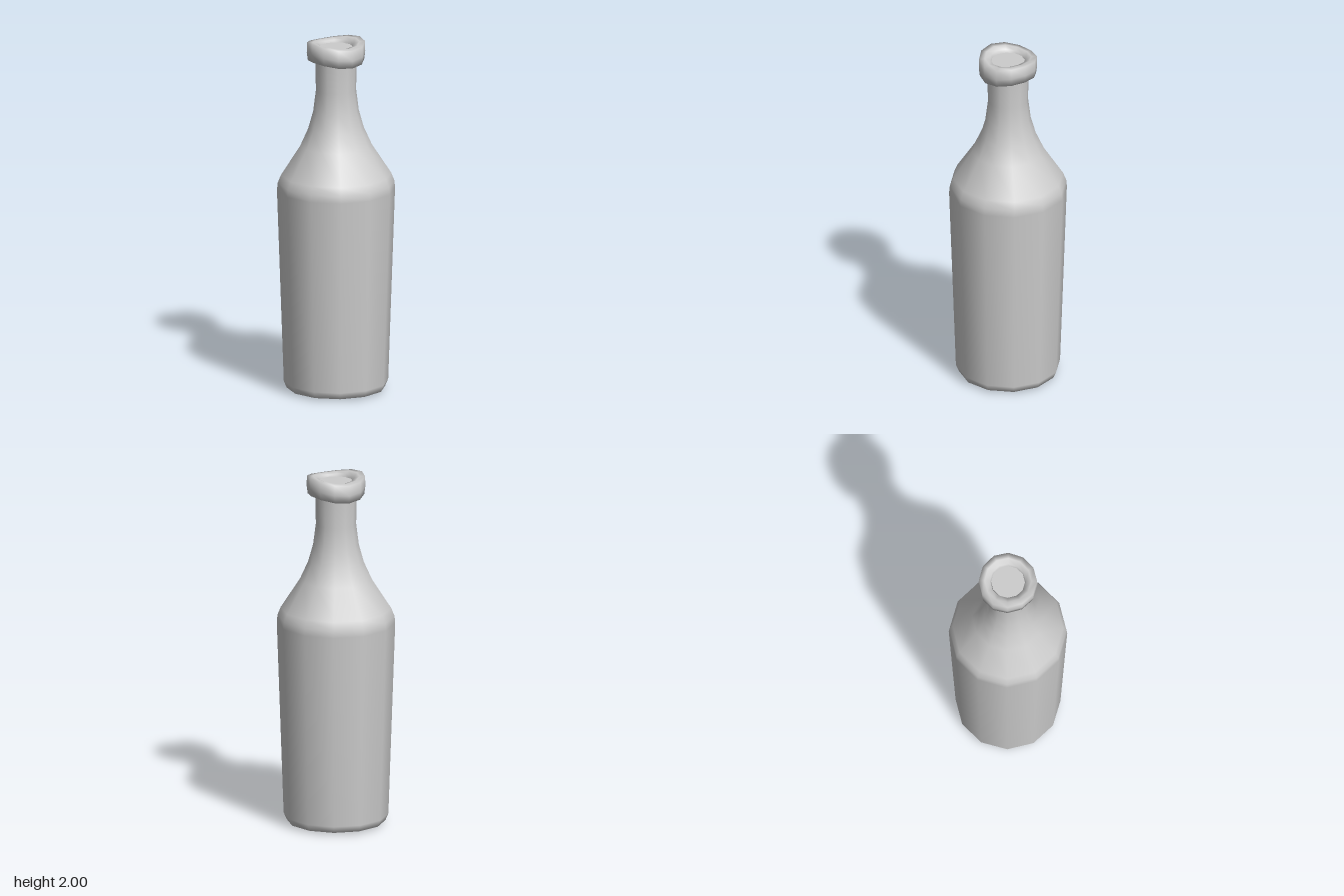
import * as THREE from 'three';

const SIDES = 12;

// Lathe from [radius, height] pairs, listed from the bottom up on the outside
function turn(name, profile, material) {
  const points = profile.map(([r, y]) => new THREE.Vector2(r, y));
  const mesh = new THREE.Mesh(new THREE.LatheGeometry(points, SIDES), material);
  mesh.name = name;
  return mesh;
}

export function createModel() {
  const group = new THREE.Group();
  group.name = 'bottle';
  const glass = new THREE.MeshStandardMaterial({ color: 0xcccccc, side: THREE.DoubleSide });

  // Tapered body, sloping shoulder and slim neck
  group.add(turn('body', [
    [0, 0.005], [0.23, 0], [0.275, 0.012], [0.291, 0.05],
    [0.329, 1.15], [0.325, 1.19], [0.307, 1.235], [0.2, 1.4],
    [0.155, 1.5], [0.127, 1.6], [0.112, 1.72], [0.116, 1.9],
  ], glass));

  // Rolled lip, bent into a shallow saddle: low at the sides, high front and back
  const lip = turn('lip', [
    [0.112, 1.9], [0.157, 1.886], [0.163, 1.93], [0.162, 1.988],
    [0.13, 1.99], [0.1, 1.98], [0.094, 1.95],
  ], glass);
  const pos = lip.geometry.attributes.position;
  for (let i = 0; i < pos.count; i++) {
    const x = pos.getX(i), z = pos.getZ(i);
    const bend = 0.012 * (z * z - x * x) / (0.16 * 0.16);
    pos.setY(i, pos.getY(i) + bend);
  }
  lip.geometry.computeVertexNormals();
  // Share normals across the lathe seam
  const nor = lip.geometry.attributes.normal;
  const rows = pos.count / (SIDES + 1);
  for (let j = 0; j < rows; j++) {
    const a = new THREE.Vector3().fromBufferAttribute(nor, j);
    const k = SIDES * rows + j;
    a.add(new THREE.Vector3().fromBufferAttribute(nor, k)).normalize();
    nor.setXYZ(j, a.x, a.y, a.z);
    nor.setXYZ(k, a.x, a.y, a.z);
  }
  group.add(lip);

  // Flat stopper closing the mouth
  const stopper = new THREE.Mesh(new THREE.CylinderGeometry(0.094, 0.094, 0.06, SIDES), glass);
  stopper.name = 'stopper';
  stopper.position.y = 1.935;
  group.add(stopper);

  return group;
}
